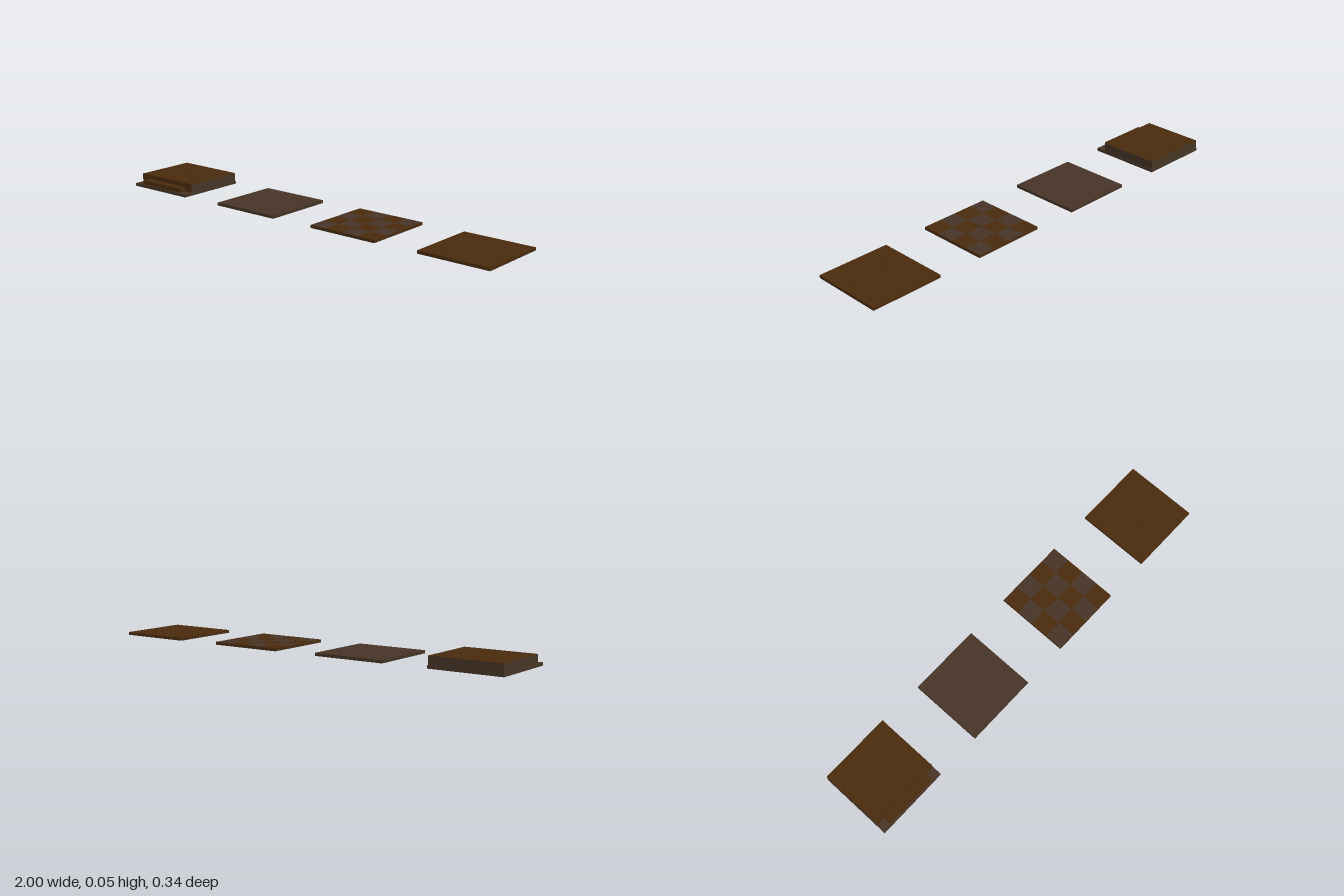
import * as THREE from 'three';

const wood = new THREE.MeshStandardMaterial({ color: 0x4b2c0d });
wood.name = 'brown wood';
const stone = new THREE.MeshStandardMaterial({ color: 0x463426 });
stone.name = 'grey brown stone';

const SIZE = 0.34, CELLS = 4;

// Box given by its limits on each axis
function box(parent, name, material, [x0, x1], [y0, y1], [z0, z1]) {
  const mesh = new THREE.Mesh(new THREE.BoxGeometry(x1 - x0, y1 - y0, z1 - z0), material);
  mesh.position.set((x0 + x1) / 2, (y0 + y1) / 2, (z0 + z1) / 2);
  mesh.name = name;
  parent.add(mesh);
  return mesh;
}

// Grid of thin boards; the direction of the boards alternates from cell to cell
function boards(parent, name, pick, [x0, x1], [z0, z1], [y0, y1], perCell) {
  const group = new THREE.Group();
  group.name = name;
  const w = (x1 - x0) / CELLS, d = (z1 - z0) / CELLS, gap = 0.0003;
  for (let i = 0; i < CELLS; i++) for (let j = 0; j < CELLS; j++) {
    const along = (i + j) % 2 === 0;
    for (let k = 0; k < perCell; k++) {
      const a = k / perCell, b = (k + 1) / perCell;
      const u = along ? [0, 1] : [a, b], v = along ? [a, b] : [0, 1];
      box(group, 'board', pick(i, j),
        [x0 + (i + u[0]) * w + gap, x0 + (i + u[1]) * w - gap], [y0, y1],
        [z0 + (j + v[0]) * d + gap, z0 + (j + v[1]) * d - gap]);
    }
  }
  parent.add(group);
}

// Flat floor tile: stone underside, body and patterned top
function floorTile(name, x, body, pick, perCell) {
  const tile = new THREE.Group(), h = SIZE / 2;
  tile.name = name;
  tile.position.x = x;
  box(tile, 'underside', stone, [-h, h], [0, 0.003], [-h, h]);
  box(tile, 'body', body, [-h, h], [0.003, 0.0125], [-h, h]);
  boards(tile, 'topPattern', pick, [-h, h], [-h, h], [0.0125, 0.0135], perCell);
  return tile;
}

// Raised platform with a front step on a stone slab
function platform(x) {
  const g = new THREE.Group(), h = SIZE / 2, p = 0.167;
  g.name = 'raisedPlatform';
  g.position.x = x;
  box(g, 'slab', stone, [-h, h], [0, 0.0135], [-h, h]);
  box(g, 'platformCore', stone, [-p, p], [0.0135, 0.0515], [-p, 0.123]);
  box(g, 'frontPanel', wood, [-p, p], [0.0135, 0.0515], [0.123, 0.125]);
  box(g, 'deckSheet', wood, [-p, p], [0.0515, 0.052], [-p, 0.125]);
  boards(g, 'deck', () => wood, [-p, p], [-0.156, 0.116], [0.052, 0.053], 4);
  // Edge strips framing the deck
  box(g, 'backEdge', wood, [-p, p], [0.052, 0.0532], [-p, -0.157]);
  box(g, 'frontEdge', wood, [-p, p], [0.052, 0.0532], [0.117, 0.125]);
  // Corner posts on both sides
  for (const s of [-1, 1]) for (const z of [[-p, -0.156], [0.115, 0.125]]) {
    const xs = s < 0 ? [-p - 0.001, -p + 0.004] : [p - 0.004, p + 0.001];
    box(g, 'cornerPost', stone, xs, [0.0135, 0.0515], z);
  }
  box(g, 'frontStep', wood, [-0.126, 0.125], [0.0135, 0.033], [0.125, 0.161]);
  return g;
}

export function createModel() {
  const model = new THREE.Group();
  model.name = 'floorPieces';
  model.add(
    platform(-0.83),
    floorTile('stoneTile', -0.277, stone, () => stone, 1),
    floorTile('checkeredTile', 0.277, wood, (i, j) => ((i + j) % 2 ? stone : wood), 4),
    floorTile('woodTile', 0.83, wood, () => wood, 4)
  );
  return model;
}
